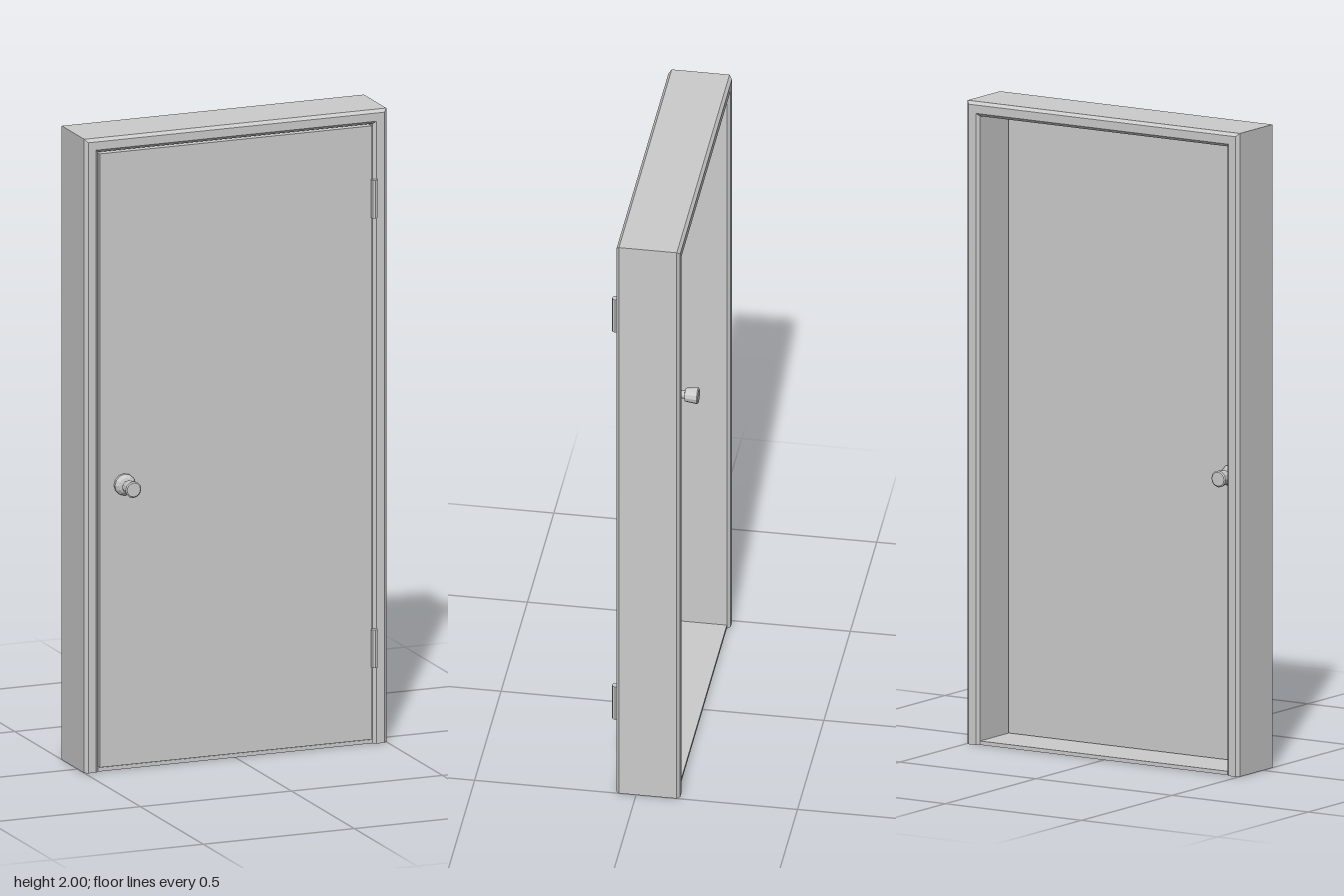
import * as THREE from 'three';

const material = new THREE.MeshStandardMaterial({ color: 0xcccccc, flatShading: true });

function addMesh(parent, name, geometry, x = 0, y = 0, z = 0) {
  const mesh = new THREE.Mesh(geometry, material);
  mesh.name = name;
  mesh.position.set(x, y, z);
  parent.add(mesh);
  return mesh;
}

// Chamfered section [inset, z] swept up, across and down with mitred corners
function frameGeometry() {
  const section = [
    [0, -0.126], [0.01, -0.135], [0.036, -0.135], [0.045, -0.126],
    [0.045, 0.053], [0.036, 0.062], [0.01, 0.062], [0, 0.053],
  ];
  const n = section.length;
  const positions = [];
  const index = [];
  const corners = [[-1, 0], [-1, 1], [1, 1], [1, 0]];
  for (const [side, top] of corners) {
    for (const [inset, z] of section) {
      positions.push(side * (0.5 - inset), top * (2 - inset), z);
    }
  }
  for (let s = 0; s < 3; s++) {
    for (let i = 0; i < n; i++) {
      const j = (i + 1) % n;
      const a = s * n + i, b = s * n + j;
      index.push(a, a + n, b + n, a, b + n, b);
    }
  }
  // Feet of the two jambs
  const end = 3 * n;
  for (let i = 1; i < n - 1; i++) {
    index.push(0, i, i + 1, end, end + i + 1, end + i);
  }
  const geometry = new THREE.BufferGeometry();
  geometry.setAttribute('position', new THREE.Float32BufferAttribute(positions, 3));
  geometry.setIndex(index);
  const faceted = geometry.toNonIndexed();
  faceted.computeVertexNormals();
  return faceted;
}

// Rose, neck and flared knob turned as one piece
function knobGeometry() {
  const profile = [
    [0, 0], [0.034, 0], [0.034, 0.009], [0.024, 0.018], [0.012, 0.021],
    [0.012, 0.034], [0.021, 0.036], [0.026, 0.074], [0.022, 0.077], [0, 0.077],
  ].map(([r, h]) => new THREE.Vector2(r, h));
  return new THREE.LatheGeometry(profile, 12);
}

export function createModel() {
  const door = new THREE.Group();
  door.name = 'door';

  addMesh(door, 'frame', frameGeometry());
  addMesh(door, 'sill', new THREE.BoxGeometry(0.91, 0.012, 0.178), 0, 0.006, -0.036);

  // Leaf set close to the front of the frame, with a narrow gap around it
  const front = 0.058, back = 0.025;
  addMesh(door, 'leaf', new THREE.BoxGeometry(0.9, 1.936, front - back),
    0, 0.014 + 0.968, (front + back) / 2);

  // A knob on each face
  const knob = knobGeometry();
  addMesh(door, 'frontKnob', knob, -0.37, 0.9, front).rotation.x = Math.PI / 2;
  addMesh(door, 'backKnob', knob, -0.37, 0.9, back).rotation.x = -Math.PI / 2;

  // Hinge barrels
  const barrel = new THREE.CylinderGeometry(0.011, 0.011, 0.12, 8);
  for (const [name, y] of [['lowerHinge', 0.304], ['upperHinge', 1.723]]) {
    addMesh(door, name, barrel, 0.453, y, 0.071);
  }

  return door;
}
